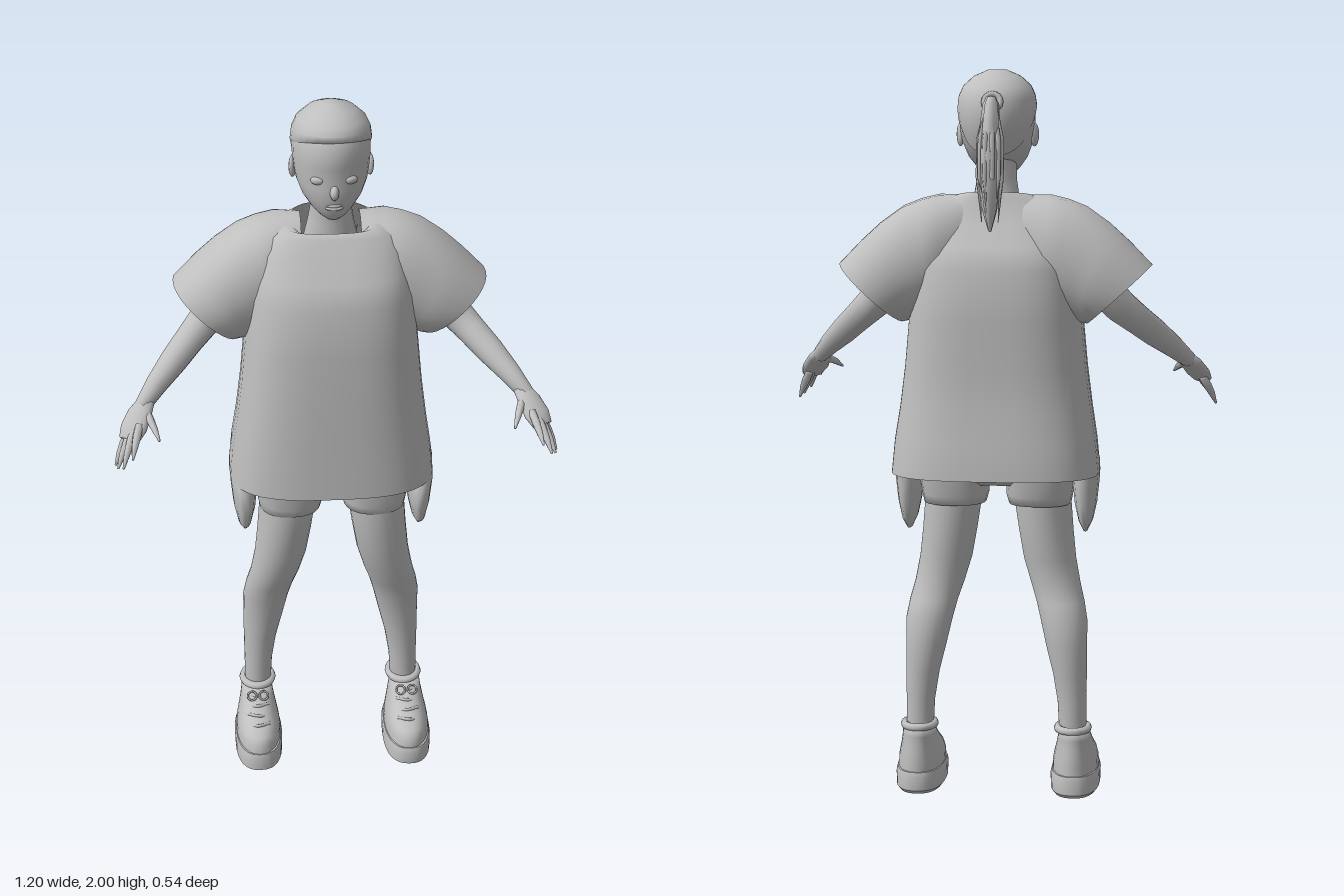
import * as THREE from 'three';
import { toCreasedNormals } from 'three/addons/utils/BufferGeometryUtils.js';

const grey = new THREE.MeshStandardMaterial({ color: 0xbfbfbf, side: THREE.DoubleSide });
grey.name = 'plain grey';

function part(name, geometry, parent) {
  const mesh = new THREE.Mesh(geometry, grey);
  mesh.name = name;
  parent.add(mesh);
  return mesh;
}

// Skin a list of closed rings (arrays of Vector3), optionally closing the ends
function loft(rings, capStart = false, capEnd = false) {
  const n = rings[0].length, pos = [], idx = [];
  rings.forEach(r => r.forEach(p => pos.push(p.x, p.y, p.z)));
  for (let i = 0; i < rings.length - 1; i++) {
    for (let j = 0; j < n; j++) {
      const a = i * n + j, b = i * n + (j + 1) % n;
      idx.push(a, a + n, b, b, a + n, b + n);
    }
  }
  const cap = (i, flip) => {
    const c = new THREE.Vector3();
    rings[i].forEach(p => c.addScaledVector(p, 1 / n));
    const k = pos.length / 3;
    pos.push(c.x, c.y, c.z);
    for (let j = 0; j < n; j++) {
      const a = i * n + j, b = i * n + (j + 1) % n;
      flip ? idx.push(k, b, a) : idx.push(k, a, b);
    }
  };
  if (capStart) cap(0, false);
  if (capEnd) cap(rings.length - 1, true);
  const g = new THREE.BufferGeometry();
  g.setAttribute('position', new THREE.Float32BufferAttribute(pos, 3));
  g.setIndex(idx);
  g.computeVertexNormals();
  return g;
}

// Level rings from rows [y, half width, front z, back z, centre x, front drop]
function level(rows, power = 2, n = 28) {
  const bend = v => Math.sign(v) * Math.abs(v) ** (2 / power);
  return rows.map(([y, rx, zf, zb, cx = 0, drop = 0]) => Array.from({ length: n }, (_, j) => {
    const a = j / n * Math.PI * 2, s = bend(Math.sin(a));
    return new THREE.Vector3(cx + rx * bend(Math.cos(a)), y - drop * (s + 1) / 2, (zf + zb) / 2 + s * (zf - zb) / 2);
  }));
}

// Round limb along rows [x, y, z, radius, flatness]
function limb(rows, n = 14) {
  const pts = rows.map(r => new THREE.Vector3(r[0], r[1], r[2]));
  const rings = rows.map(([, , , r, flat = 1], i) => {
    const t = pts[Math.min(i + 1, pts.length - 1)].clone().sub(pts[Math.max(i - 1, 0)]).normalize();
    const u = new THREE.Vector3(0.75, 0.15, -0.6).cross(t).normalize();
    const v = t.clone().cross(u);
    return Array.from({ length: n }, (_, j) => {
      const a = j / n * Math.PI * 2;
      return pts[i].clone().addScaledVector(u, Math.cos(a) * r * flat).addScaledVector(v, Math.sin(a) * r);
    });
  });
  return loft(rings, true, true);
}

function buildHead() {
  const head = new THREE.Group();
  head.name = 'head';
  part('skull', loft(level([
    [1.705, 0.018, 0.055, 0.015], [1.715, 0.036, 0.066, -0.03], [1.735, 0.058, 0.078, -0.075],
    [1.765, 0.08, 0.086, -0.11], [1.8, 0.094, 0.09, -0.135], [1.83, 0.1, 0.087, -0.15],
    [1.86, 0.103, 0.092, -0.158], [1.9, 0.104, 0.093, -0.163], [1.935, 0.096, 0.08, -0.155],
    [1.965, 0.078, 0.056, -0.13], [1.985, 0.053, 0.025, -0.095], [1.995, 0.03, -0.003, -0.065]]), true, true), head);
  // hair cap with a hairline sloping down to the nape
  part('hair', loft(level([
    [1.77, 0.09, 0.0, -0.13, 0, -0.16], [1.82, 0.103, 0.055, -0.157, 0, -0.1], [1.87, 0.108, 0.082, -0.167, 0, -0.06],
    [1.915, 0.104, 0.078, -0.165, 0, -0.03], [1.95, 0.092, 0.066, -0.148, 0, -0.013],
    [1.98, 0.064, 0.035, -0.11, 0, -0.004], [1.999, 0.025, -0.005, -0.06]]), false, true), head);
  part('neck', loft(level([[1.6, 0.075, 0.0, -0.13], [1.66, 0.062, -0.002, -0.115],
    [1.71, 0.054, 0.0, -0.1], [1.78, 0.054, 0.01, -0.11]], 2, 20)), head);
  const nose = part('nose', new THREE.SphereGeometry(1, 12, 8), head);
  nose.scale.set(0.012, 0.02, 0.02);
  nose.position.set(0, 1.795, 0.088);
  [1.748, 1.756].forEach((y, i) => {
    const lip = part('lip', new THREE.SphereGeometry(1, 12, 8), head);
    lip.scale.set(0.024 - i * 0.002, 0.006, 0.011);
    lip.position.set(0, y, 0.077);
  });
  for (const s of [-1, 1]) {
    const eye = part('eye', new THREE.SphereGeometry(1, 12, 8), head);
    eye.scale.set(0.018, 0.011, 0.009);
    eye.position.set(s * 0.045, 1.825, 0.073);
    eye.rotation.y = s * 0.4;
    const ear = part('ear', new THREE.SphereGeometry(1, 12, 8), head);
    ear.scale.set(0.01, 0.032, 0.02);
    ear.position.set(s * 0.101, 1.825, -0.035);
    ear.rotation.y = s * 0.35;
  }
  return head;
}

function buildPonytail() {
  const tail = new THREE.Group();
  tail.name = 'ponytail';
  const core = level([[1.93, 0.012, -0.175, -0.21], [1.91, 0.022, -0.17, -0.225], [1.86, 0.027, -0.18, -0.25],
    [1.78, 0.034, -0.182, -0.268], [1.7, 0.032, -0.188, -0.265], [1.63, 0.02, -0.2, -0.25],
    [1.575, 0.004, -0.218, -0.228]], 2, 14);
  core.forEach(r => r.forEach((p, j) => { if (j % 2) p.x *= 0.75; }));
  part('tailCore', loft(core, true, true), tail);
  const tie = part('hairTie', new THREE.TorusGeometry(0.022, 0.008, 8, 16), tail);
  tie.position.set(0, 1.915, -0.168);
  tie.rotation.x = 0.3;
  // loose locks around the core
  for (let i = 0; i < 10; i++) {
    const a = i / 10 * Math.PI * 2, c = Math.cos(a), s = Math.sin(a), end = 1.6 + (i * 7 % 5) * 0.025;
    part('lock', limb([[c * 0.01, 1.92, -0.19 + s * 0.01, 0.004], [c * 0.029, 1.82, -0.22 + s * 0.039, 0.008],
      [c * 0.031, 1.72, -0.226 + s * 0.039, 0.007], [c * 0.022, end, -0.225 + s * 0.024, 0.001]], 5), tail);
  }
  return tail;
}

function buildShirt() {
  const shirt = new THREE.Group();
  shirt.name = 'shirt';
  part('shirtBody', loft(level([
    [0.908, 0.285, 0.145, -0.27], [1.0, 0.276, 0.143, -0.265], [1.09, 0.262, 0.142, -0.25],
    [1.2, 0.248, 0.14, -0.248], [1.33, 0.236, 0.137, -0.25], [1.47, 0.225, 0.13, -0.25],
    [1.53, 0.215, 0.098, -0.215], [1.59, 0.2, 0.062, -0.175], [1.635, 0.17, 0.035, -0.152],
    [1.66, 0.13, 0.022, -0.145, 0, 0.01], [1.675, 0.105, 0.012, -0.138, 0, 0.035]], 2.9, 48)), shirt);
  for (const s of [-1, 1]) {
    // rows: top x, top y, bottom x, bottom y, half depth
    const rings = [[0.08, 1.665, 0.08, 1.42, 0.09], [0.15, 1.667, 0.13, 1.38, 0.125], [0.2, 1.655, 0.165, 1.35, 0.13],
      [0.25, 1.635, 0.195, 1.335, 0.13], [0.31, 1.592, 0.22, 1.328, 0.133], [0.365, 1.542, 0.235, 1.323, 0.134],
      [0.425, 1.48, 0.25, 1.32, 0.125]].map(([tx, ty, bx, by, d]) =>
      Array.from({ length: 28 }, (_, j) => {
        const a = j / 28 * Math.PI * 2, k = (1 + Math.cos(a)) / 2;
        return new THREE.Vector3(s * (bx + (tx - bx) * k), by + (ty - by) * k,
          -0.085 + d * Math.sign(Math.sin(a)) * Math.abs(Math.sin(a)) ** 0.85);
      }));
    part('sleeve', loft(rings), shirt);
  }
  return shirt;
}

function buildArm() {
  const arm = new THREE.Group();
  arm.name = 'arm';
  part('armSkin', limb([[0.18, 1.54, -0.1, 0.06], [0.27, 1.44, -0.1, 0.053], [0.34, 1.365, -0.075, 0.046],
    [0.385, 1.325, -0.035, 0.041], [0.43, 1.285, 0.01, 0.038], [0.48, 1.24, 0.062, 0.03], [0.52, 1.2, 0.11, 0.022]]), arm);
  part('palm', limb([[0.505, 1.212, 0.095, 0.022, 0.9], [0.525, 1.19, 0.125, 0.034, 0.55],
    [0.543, 1.162, 0.158, 0.038, 0.45], [0.556, 1.14, 0.18, 0.03, 0.4]]), arm);
  [[0.532, 1.163, 0.185, 0.547, 1.125, 0.265], [0.548, 1.148, 0.18, 0.573, 1.09, 0.25],
    [0.558, 1.137, 0.17, 0.588, 1.075, 0.222], [0.566, 1.13, 0.158, 0.595, 1.068, 0.19],
    [0.508, 1.19, 0.125, 0.475, 1.155, 0.222]].forEach(([x, y, z, X, Y, Z], i) => {
    const at = (t, r, lift = 0) => [x + (X - x) * t, y + (Y - y) * t + lift, z + (Z - z) * t, r];
    part(i === 4 ? 'thumb' : 'finger', limb([at(-0.25, 0.011), at(0.2, 0.0115, 0.003), at(0.6, 0.009, 0.004), at(1, 0.003)], 8), arm);
  });
  return arm;
}

function buildLeg() {
  const leg = new THREE.Group();
  leg.name = 'leg';
  part('legSkin', loft(level([
    [0.95, 0.08, 0.075, -0.11, 0.12], [0.82, 0.079, 0.072, -0.105, 0.125], [0.74, 0.076, 0.066, -0.102, 0.134],
    [0.66, 0.073, 0.052, -0.094, 0.145], [0.59, 0.069, 0.036, -0.09, 0.162], [0.54, 0.067, 0.018, -0.105, 0.177],
    [0.49, 0.065, 0.002, -0.119, 0.188], [0.42, 0.057, -0.013, -0.122, 0.196], [0.34, 0.047, -0.022, -0.117, 0.206],
    [0.26, 0.04, -0.03, -0.108, 0.212], [0.15, 0.037, -0.03, -0.105, 0.215]], 2, 24)), leg);
  part('shortsLeg', loft(level([[1.0, 0.115, 0.095, -0.15, 0.115], [0.9, 0.098, 0.088, -0.138, 0.12],
    [0.84, 0.092, 0.083, -0.127, 0.117], [0.815, 0.086, 0.074, -0.118, 0.118], [0.82, 0.078, 0.07, -0.104, 0.12]], 2.4, 24)), leg);
  // hanging side pocket
  part('pocket', loft(level([[0.74, 0.006, 0.0, -0.06, 0.245], [0.77, 0.02, 0.045, -0.1, 0.245],
    [0.82, 0.031, 0.064, -0.115, 0.245], [0.89, 0.038, 0.08, -0.13, 0.245], [0.94, 0.034, 0.04, -0.125, 0.25],
    [0.975, 0.022, -0.06, -0.11, 0.258]], 2, 16), true, true), leg);
  leg.add(buildShoe());
  return leg;
}

function buildShoe() {
  const shoe = new THREE.Group();
  shoe.name = 'shoe';
  const x = 0.218;
  const sole = loft(level([[0.008, 0.06, 0.135, -0.135, x], [0.018, 0.068, 0.15, -0.144, x],
    [0.055, 0.069, 0.152, -0.146, x], [0.07, 0.065, 0.147, -0.142, x]], 2.5, 32), true, true);
  sole.translate(0, -0.008, 0);
  part('sole', toCreasedNormals(sole, 0.6), shoe);
  part('upper', loft(level([[0.055, 0.064, 0.145, -0.138, x], [0.085, 0.063, 0.143, -0.138, x],
    [0.105, 0.059, 0.128, -0.137, x], [0.12, 0.055, 0.1, -0.136, x], [0.14, 0.05, 0.062, -0.134, x],
    [0.16, 0.046, 0.028, -0.133, x], [0.185, 0.043, -0.012, -0.134, x]], 2.2, 28), false, true), shoe);
  const cuff = part('sockCuff', new THREE.TorusGeometry(0.042, 0.011, 8, 24), shoe);
  cuff.rotation.x = Math.PI / 2;
  cuff.scale.y = 1.25;
  cuff.position.set(0.215, 0.188, -0.075);
  // laces over the instep
  for (let i = 0; i < 4; i++) {
    const y = 0.126 + i * 0.015, z = 0.092 - i * 0.028, tilt = (i % 2 ? 1 : -1) * 0.004;
    const path = new THREE.CatmullRomCurve3([-1, 0, 1].map(s => new THREE.Vector3(
      x + s * 0.03, y + s * tilt - Math.abs(s) * 0.008, z - Math.abs(s) * 0.016)));
    part('lace', new THREE.TubeGeometry(path, 8, 0.005, 6), shoe);
  }
  for (const s of [-1, 1]) {
    const bow = part('laceBow', new THREE.TorusGeometry(0.013, 0.003, 6, 14), shoe);
    bow.position.set(x + s * 0.017, 0.176, 0.012);
    bow.rotation.set(-0.8, 0, s * 0.4);
  }
  return shoe;
}

export function createModel() {
  const model = new THREE.Group();
  model.name = 'figure';
  model.add(buildHead(), buildPonytail(), buildShirt());
  part('shortsHips', loft(level([[0.87, 0.12, 0.05, -0.1], [0.9, 0.19, 0.085, -0.14], [0.97, 0.215, 0.095, -0.16],
    [1.08, 0.19, 0.09, -0.15]], 2.4), true, true), model);
  // limbs on the left, mirrored to the right
  for (const s of [1, -1]) {
    const side = new THREE.Group();
    side.name = s > 0 ? 'leftLimbs' : 'rightLimbs';
    side.add(buildArm(), buildLeg());
    side.scale.x = s;
    model.add(side);
  }
  return model;
}
